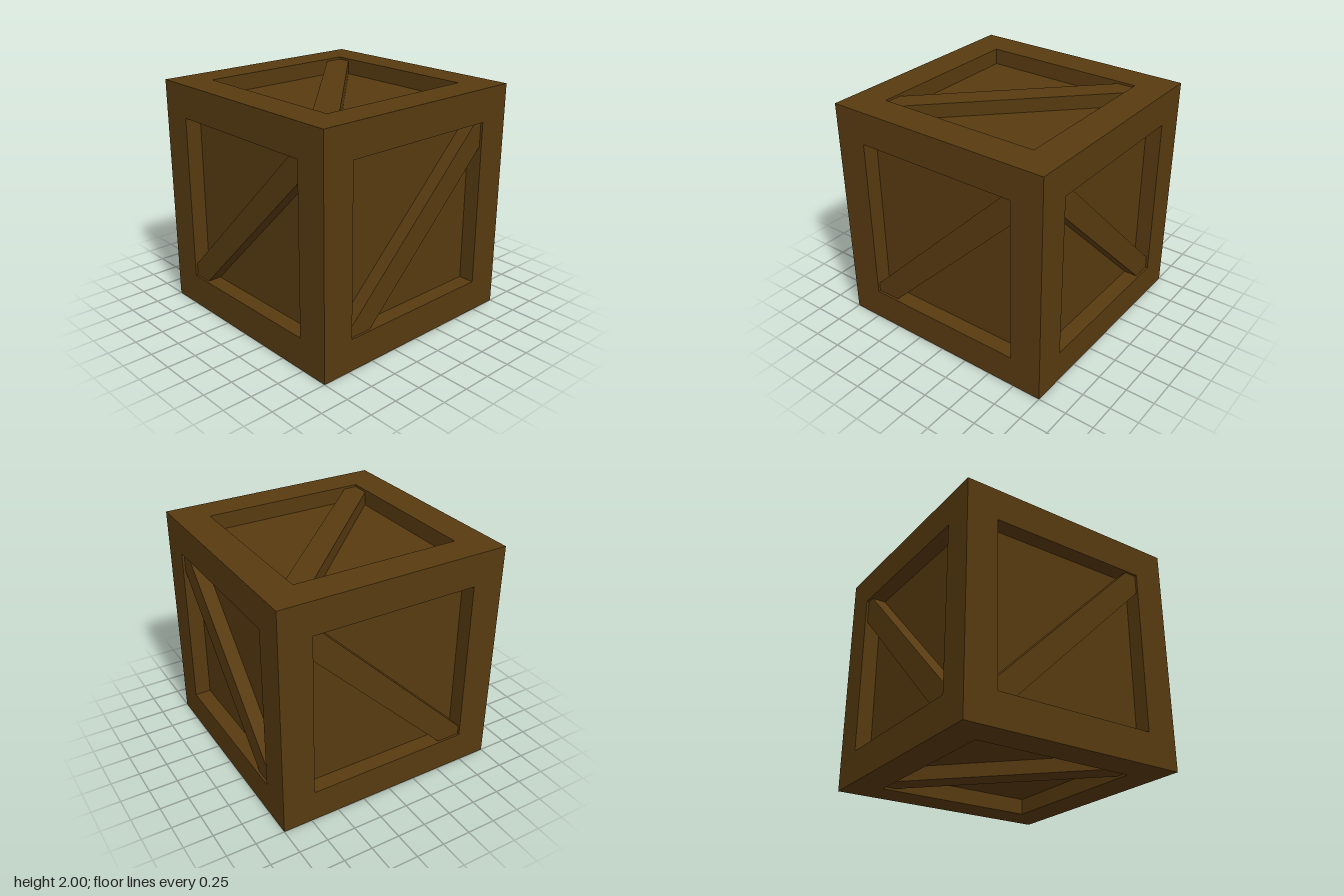
import * as THREE from 'three';
import { mergeGeometries } from 'three/addons/utils/BufferGeometryUtils.js';

const OPEN = 0.72;   // half width of each opening in the frame
const PANEL = 0.86;  // distance of the panels from the centre
const BRACE = 0.98;  // distance of the brace faces from the centre

// Each side: its right and up directions, then the lean of the brace and
// the offsets of the brace's lower and upper edges from the diagonal.
const SIDES = [
  { name: 'front', u: [1, 0, 0], v: [0, 1, 0], lean: 1, low: -0.17, high: 0.11 },
  { name: 'back', u: [-1, 0, 0], v: [0, 1, 0], lean: -1, low: -0.17, high: 0.11 },
  { name: 'right', u: [0, 0, -1], v: [0, 1, 0], lean: 1, low: -0.21, high: 0.08 },
  { name: 'left', u: [0, 0, 1], v: [0, 1, 0], lean: -1, low: -0.21, high: 0.08 },
  { name: 'top', u: [1, 0, 0], v: [0, 0, -1], lean: -1, low: -0.16, high: 0.12 },
  { name: 'bottom', u: [1, 0, 0], v: [0, 0, 1], lean: 1, low: -0.12, high: 0.16 },
];

function polygon(points, Type = THREE.Shape) {
  return new Type(points.map(([x, y]) => new THREE.Vector2(x, y)));
}

const square = (h) => [[-h, -h], [h, -h], [h, h], [-h, h]];

// One side of the frame: a flat border and the four walls of its recess
function frameSide() {
  const border = polygon(square(1));
  border.holes.push(polygon(square(OPEN).reverse(), THREE.Path));
  const parts = [new THREE.ShapeGeometry(border).translate(0, 0, 1)];
  for (let i = 0; i < 4; i++) {
    parts.push(new THREE.PlaneGeometry(2 * OPEN, 1 - PANEL)
      .rotateX(Math.PI / 2)
      .translate(0, OPEN, (1 + PANEL) / 2)
      .rotateZ(i * Math.PI / 2));
  }
  return mergeGeometries(parts);
}

// Diagonal board trimmed to the corners of the opening
function braceGeometry({ lean, low, high }) {
  const outline = [
    [-OPEN, -OPEN], [-OPEN - low, -OPEN], [OPEN, OPEN + low],
    [OPEN, OPEN], [OPEN - high, OPEN], [-OPEN, -OPEN + high],
  ].map(([x, y]) => [x * lean, y]);
  return new THREE.ExtrudeGeometry(polygon(outline), { depth: BRACE - PANEL, bevelEnabled: false })
    .translate(0, 0, PANEL);
}

export function createModel() {
  const wood = new THREE.MeshStandardMaterial({ color: 0x573a10 });
  wood.name = 'dark wood';

  const crate = new THREE.Group();
  crate.name = 'crate';
  const add = (name, geometry) => {
    const mesh = new THREE.Mesh(geometry.translate(0, 1, 0), wood);
    mesh.name = name;
    crate.add(mesh);
  };

  const frameParts = [];
  for (const side of SIDES) {
    const u = new THREE.Vector3(...side.u);
    const v = new THREE.Vector3(...side.v);
    const turn = new THREE.Matrix4().makeBasis(u, v, u.clone().cross(v));

    frameParts.push(frameSide().applyMatrix4(turn));
    add(side.name + 'Panel',
      new THREE.PlaneGeometry(2 * OPEN, 2 * OPEN).translate(0, 0, PANEL).applyMatrix4(turn));
    add(side.name + 'Brace', braceGeometry(side).applyMatrix4(turn));
  }
  add('frame', mergeGeometries(frameParts));

  return crate;
}
